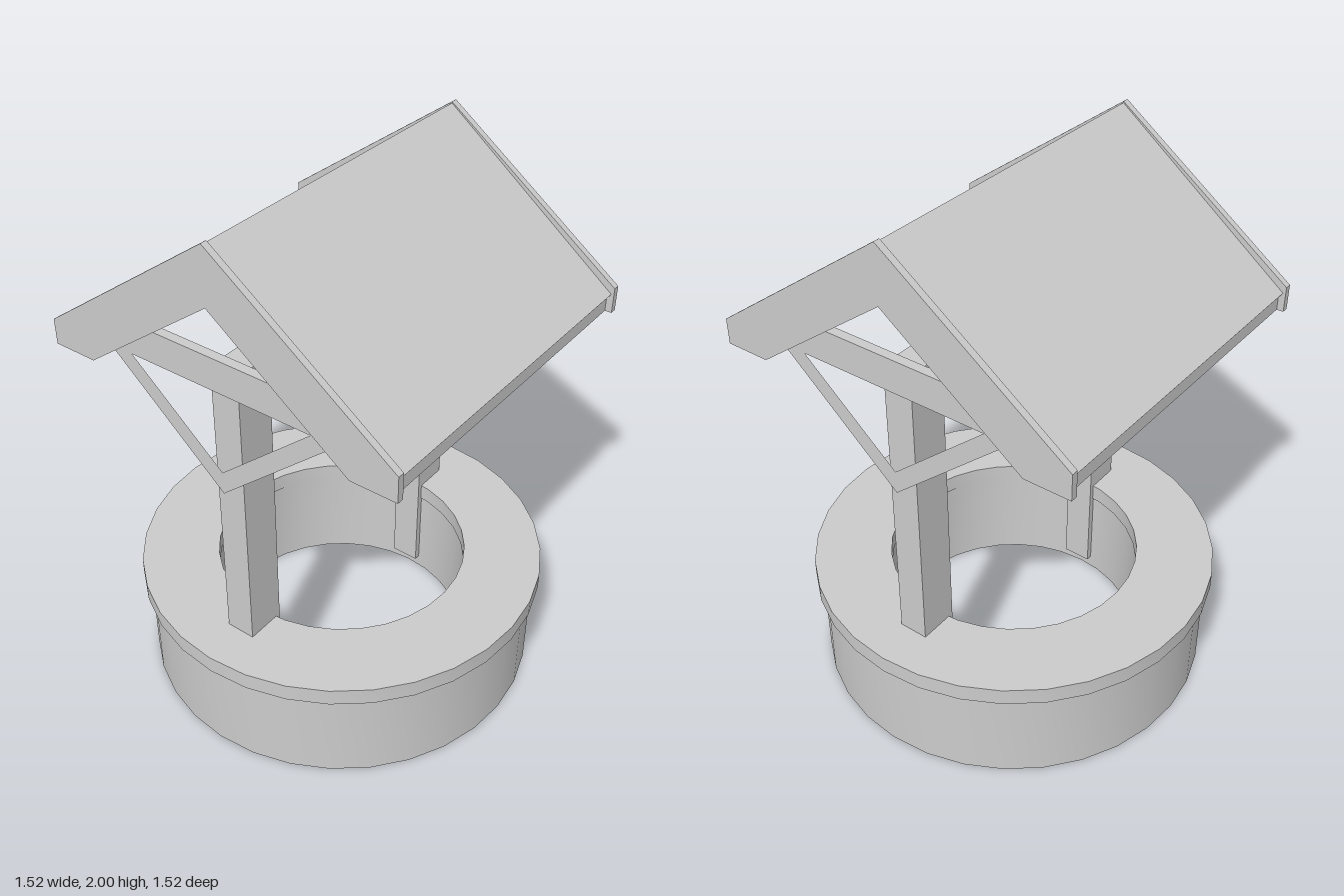
import * as THREE from 'three';
import { toCreasedNormals } from 'three/addons/utils/BufferGeometryUtils.js';

export function createModel() {
  const model = new THREE.Group();
  model.name = 'well';
  const grey = new THREE.MeshStandardMaterial({ color: 0xcccccc });
  const thin = new THREE.MeshStandardMaterial({ color: 0xcccccc, side: THREE.DoubleSide });

  function add(name, geometry, material = grey) {
    const mesh = new THREE.Mesh(geometry, material);
    mesh.name = name;
    model.add(mesh);
    return mesh;
  }

  // Box given by its lower and upper bounds on each axis
  function box(name, [x0, x1], [y0, y1], [z0, z1]) {
    const mesh = add(name, new THREE.BoxGeometry(x1 - x0, y1 - y0, z1 - z0));
    mesh.position.set((x0 + x1) / 2, (y0 + y1) / 2, (z0 + z1) / 2);
  }

  // Half outline from top centre to bottom centre, mirrored over x = 0
  function mirrored(half) {
    const other = half.filter(([x]) => x > 0).reverse().map(([x, y]) => [-x, y]);
    return new THREE.Shape([...half, ...other].map(([x, y]) => new THREE.Vector2(x, y)));
  }

  function slab(name, shape, z0, z1) {
    const geometry = new THREE.ExtrudeGeometry(shape, { depth: z1 - z0, bevelEnabled: false });
    add(name, geometry.translate(0, 0, z0));
  }

  function lathe(name, points, material) {
    const profile = points.map(([r, y]) => new THREE.Vector2(r, y));
    add(name, toCreasedNormals(new THREE.LatheGeometry(profile, 32), 0.6), material);
  }

  // Hollow well wall, open underneath, and the rim that caps it
  lathe('outerWall', [[0.735, 0], [0.735, 0.372]], thin);
  lathe('innerWall', [[0.475, 0], [0.475, 0.372]], thin);
  lathe('rim', [[0.47, 0.37], [0.76, 0.37], [0.76, 0.435], [0.47, 0.435], [0.47, 0.37]]);

  // Gable boards, and trusses with a triangular opening
  const gable = mirrored([[0, 2], [0.69, 1.5], [0.69, 1.405], [0.52, 1.405], [0, 1.79]]);
  const truss = mirrored([[0, 1.6], [0.48, 1.6], [0.5, 1.52], [0, 1.085]]);
  truss.holes.push(mirrored([[0, 1.48], [0.36, 1.48], [0, 1.17]]));

  for (const s of [1, -1]) {
    const span = (a, b) => [Math.min(s * a, s * b), Math.max(s * a, s * b)];
    box('post', [-0.055, 0.055], [0.05, 1.54], span(0.445, 0.595));
    slab('truss', truss, ...span(0.595, 0.63));
    slab('gableBoard', gable, ...span(0.63, 0.655));
    // Lengthwise rails under each roof slope
    box('purlin', span(0.46, 0.535), [1.475, 1.55], [-0.63, 0.63]);
    box('eaveRail', span(0.6, 0.665), [1.405, 1.468], [-0.63, 0.63]);
  }
  box('topBeam', [-0.055, 0.055], [1.45, 1.54], [-0.445, 0.445]);

  // Thin folded roof
  slab('roof', mirrored([[0, 1.995], [0.68, 1.475], [0.67, 1.46], [0, 1.975]]), -0.632, 0.632);

  return model;
}
